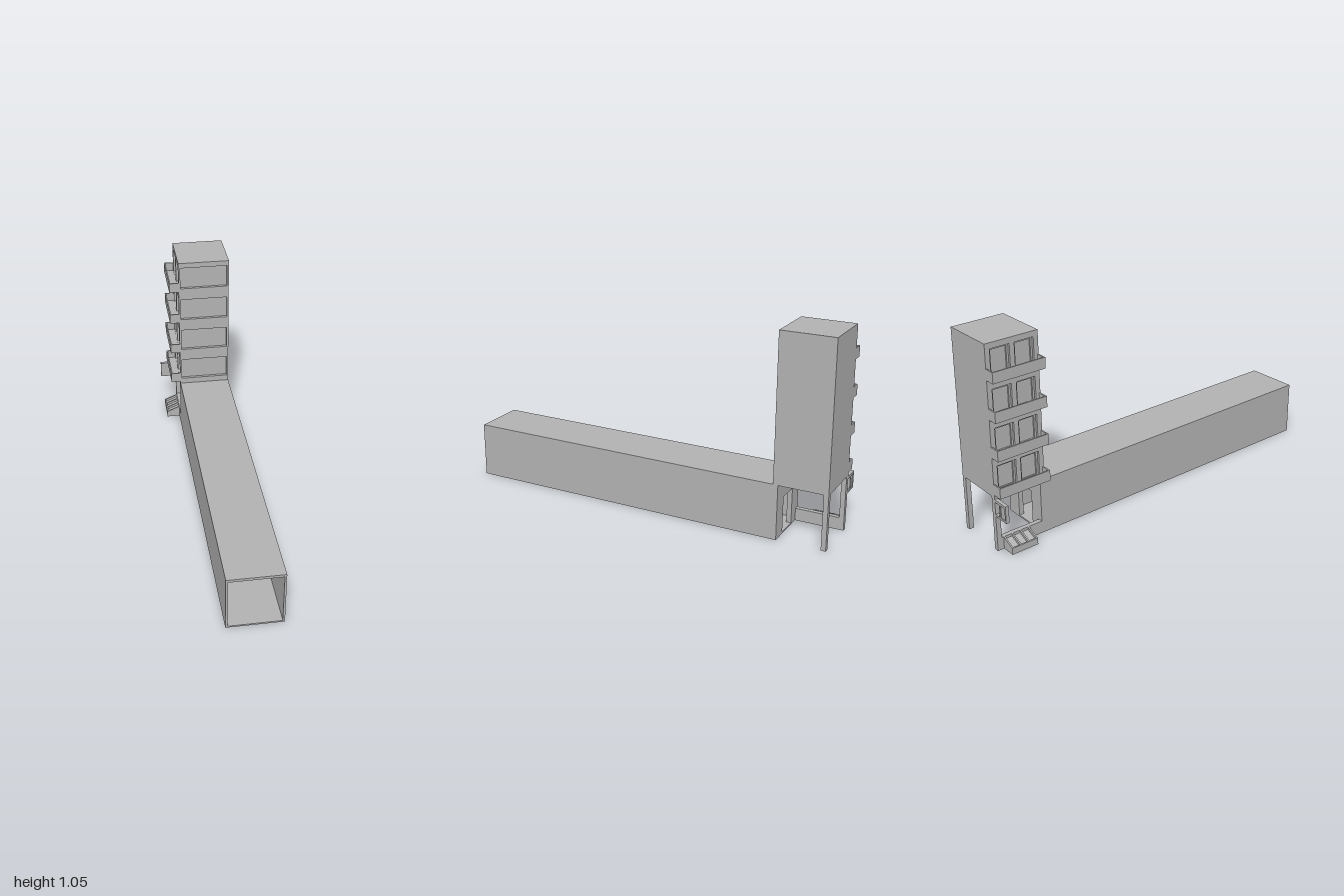
import * as THREE from 'three';

export function createModel() {
  const model = new THREE.Group();
  model.name = 'towerAndHall';
  const grey = new THREE.MeshStandardMaterial({ color: 0xb2b2b2 });
  grey.name = 'plain grey';

  const add = (name, geometry, parent = model) => {
    const mesh = new THREE.Mesh(geometry, grey);
    mesh.name = name;
    parent.add(mesh);
    return mesh;
  };
  // Box given by its limits on each axis
  const box = (name, x0, x1, y0, y1, z0, z1, parent) =>
    add(name, new THREE.BoxGeometry(x1 - x0, y1 - y0, z1 - z0)
      .translate((x0 + x1) / 2, (y0 + y1) / 2, (z0 + z1) / 2), parent);
  const rect = (Type, a0, a1, b0, b1) => {
    const p = new Type();
    p.moveTo(a0, b0);
    p.lineTo(a1, b0);
    p.lineTo(a1, b1);
    p.lineTo(a0, b1);
    p.closePath();
    return p;
  };
  // Rectangular plate with rectangular holes, extruded along z
  const plate = (outer, holes, depth) => {
    const shape = rect(THREE.Shape, ...outer);
    holes.forEach(h => shape.holes.push(rect(THREE.Path, ...h)));
    return new THREE.ExtrudeGeometry(shape, { depth, bevelEnabled: false });
  };

  const L = -0.098, R = 0.183, BACK = -1, FRONT = -0.72, BASE = 0.288, TOP = 1.052;
  const floors = [0, 1, 2, 3].map(i => i * 0.192);

  // Long hollow hall, with a doorway wall at its far end
  add('hall', plate([L, R, 0, 0.29], [[-0.087, 0.173, 0.008, 0.276]], 1.72)).position.z = FRONT;
  add('doorwayWall', plate([L, R, 0, BASE], [[-0.017, 0.1, 0.008, 0.197]], 0.025)).position.z = -0.745;

  // Tower: core, front face with shallow recesses, side face with window openings
  const tower = new THREE.Group();
  tower.name = 'tower';
  model.add(tower);
  box('towerCore', L + 0.02, R, BASE, TOP, BACK, FRONT - 0.016, tower);
  add('towerFront', plate([L, R, BASE, TOP],
    floors.map(f => [-0.088, 0.173, 0.323 + f, 0.447 + f]), 0.016), tower).position.z = FRONT - 0.016;
  const bays = [[-0.975, -0.873], [-0.847, -0.745]];
  const openings = floors.flatMap(f => bays.map(([a, b]) => [a, b, 0.313 + f, 0.447 + f]));
  add('towerSide', plate([BACK, FRONT - 0.016, BASE, TOP], openings, 0.02).rotateY(-Math.PI / 2),
    tower).position.x = L + 0.02;

  // Slim frames inside the window openings
  for (const [a, b, c, d] of openings) {
    add('windowFrame', plate([a, b, c, d], [[a + 0.01, b - 0.01, c + 0.01, d - 0.01]], 0.008)
      .rotateY(-Math.PI / 2), tower).position.x = L + 0.02;
  }

  // Balconies: open trays with a small spout below
  for (const f of floors) {
    const balcony = new THREE.Group();
    balcony.name = 'balcony';
    balcony.position.y = f;
    model.add(balcony);
    box('balconyFloor', -0.15, L, 0.303, 0.311, BACK, FRONT, balcony);
    box('balconyParapet', -0.15, -0.143, 0.311, 0.358, BACK, FRONT, balcony);
    box('balconyEnd', -0.143, L, 0.311, 0.358, BACK, BACK + 0.007, balcony);
    box('balconyEnd', -0.143, L, 0.311, 0.358, FRONT - 0.007, FRONT, balcony);
    box('spout', -0.125, -0.119, 0.295, 0.303, -0.863, -0.857, balcony);
  }

  // Rear posts and low side wall of the open ground floor
  box('rearPost', L, L + 0.025, 0, BASE, BACK, BACK + 0.025);
  box('rearPost', R - 0.025, R, 0, BASE, BACK, BACK + 0.025);
  box('lowWall', L, L + 0.025, 0, 0.065, -0.975, -0.745);

  // Sloped planter with raised dividers
  const slope = (name, drop, z0, z1) => {
    const s = new THREE.Shape();
    s.moveTo(-0.17, 0);
    s.lineTo(L, 0);
    s.lineTo(L, 0.065 - drop);
    s.lineTo(-0.17, 0.035 - drop);
    s.closePath();
    add(name, new THREE.ExtrudeGeometry(s, { depth: z1 - z0, bevelEnabled: false })).position.z = z0;
  };
  slope('planterBase', 0.014, -0.965, -0.82);
  for (let i = 0; i < 4; i++) {
    const z = -0.965 + i * 0.0457;
    slope('planterDivider', 0, z, z + 0.008);
  }
  box('planterFront', -0.17, -0.162, 0.005, 0.035, -0.965, -0.82);

  // Hanging panel on two arms beside the rear post
  box('panel', -0.187, -0.133, 0.19, 0.28, BACK + 0.004, BACK + 0.018);
  add('panelRim', plate([-0.187, -0.133, 0.19, 0.28], [[-0.178, -0.142, 0.201, 0.267]], 0.004)).position.z = BACK;
  box('panelArm', -0.133, L, 0.266, 0.28, BACK, BACK + 0.018);
  box('panelArm', -0.133, L, 0.19, 0.201, BACK, BACK + 0.018);

  return model;
}
